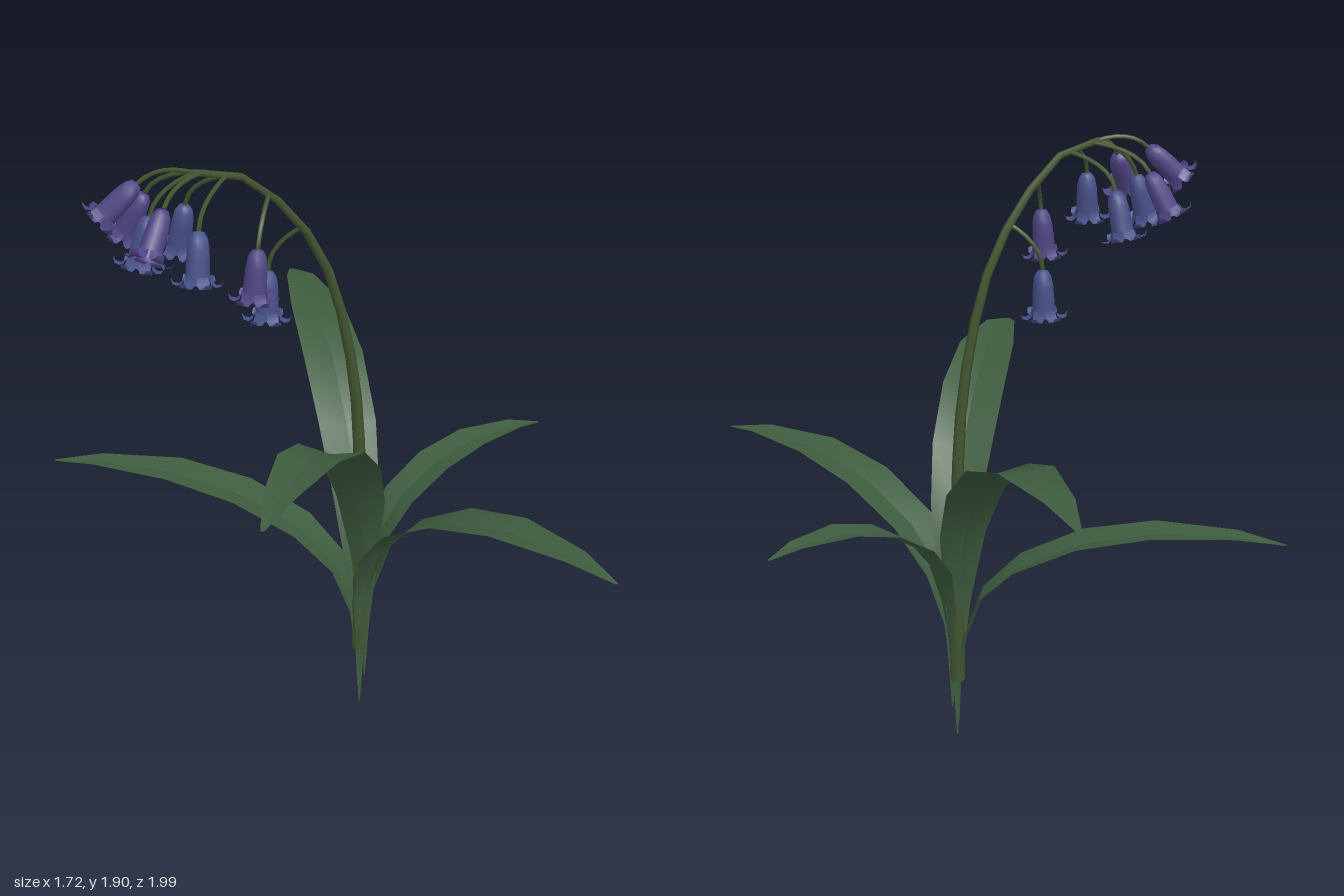
import * as THREE from 'three';

const V = (p) => new THREE.Vector3(...p);
const material = (color, extra = {}) =>
  Object.assign(new THREE.MeshStandardMaterial({ color }), extra);
const leafMat = material(0x3e5c3f, { side: THREE.DoubleSide });
const stemMat = material(0x43552f);
const blueMat = material(0x475189, { side: THREE.DoubleSide });
const purpleMat = material(0x504685, { side: THREE.DoubleSide });

function add(parent, name, geometry, mat) {
  const mesh = new THREE.Mesh(geometry, mat);
  mesh.name = name;
  parent.add(mesh);
  return mesh;
}

// Surface through rows of points; skipped columns leave a crease
function surface(rows, skip = -1) {
  const n = rows[0].length, index = [];
  for (let i = 0; i < rows.length - 1; i++)
    for (let j = 0; j < n - 1; j++) {
      if (j === skip) continue;
      const a = i * n + j, b = a + n;
      index.push(a, a + 1, b, b, a + 1, b + 1);
    }
  const g = new THREE.BufferGeometry().setFromPoints(rows.flat());
  g.setIndex(index);
  g.computeVertexNormals();
  return g;
}

// Tube whose radius shrinks from r0 to r1
function taperedTube(curve, segments, r0, r1, sides) {
  const g = new THREE.TubeGeometry(curve, segments, 1, sides);
  const pos = g.attributes.position, v = new THREE.Vector3();
  for (let i = 0; i < pos.count; i++) {
    const t = Math.floor(i / (sides + 1)) / segments;
    const c = curve.getPointAt(t);
    v.fromBufferAttribute(pos, i).sub(c).multiplyScalar(r0 + (r1 - r0) * t).add(c);
    pos.setXYZ(i, v.x, v.y, v.z);
  }
  return g;
}

// Leaf rows: share of reach, share of height, half width
const leafRows = [
  [0, 0, 0.002], [0.005, 0.2, 0.016], [0.022, 0.42, 0.043], [0.075, 0.63, 0.075],
  [0.19, 0.787, 0.092], [0.38, 0.917, 0.097], [0.6, 0.985, 0.086], [0.85, 0.995, 0.046],
  [1, 0.97, 0.005],
];

function leafGeometry({ base, tip, height, width }) {
  const start = V(base), end = V(tip);
  const reach = end.clone().sub(start).setY(0);
  const side = new THREE.Vector3(0, 1, 0).cross(reach).normalize();
  const mids = leafRows.map(([r, h]) =>
    start.clone().addScaledVector(reach, r).setY(start.y + (height - start.y) * h));
  const rows = mids.map((m, i) => {
    const w = leafRows[i][2] * width;
    const along = mids[Math.min(i + 1, mids.length - 1)].clone().sub(mids[Math.max(i - 1, 0)]);
    const normal = along.normalize().cross(side);
    const edge = (s) => m.clone().addScaledVector(side, s * w).addScaledVector(normal, 0.18 * w);
    return [edge(1), m.clone(), m.clone(), edge(-1)];
  });
  return surface(rows, 1);
}

// Bell with a domed top at the origin, hanging down -y
const bellProfile = [
  [0.038, -0.148], [0.035, -0.125], [0.034, -0.085], [0.032, -0.05],
  [0.027, -0.022], [0.017, -0.005], [0, 0],
].map(([x, y]) => new THREE.Vector2(x, y));
const bellGeometry = new THREE.LatheGeometry(bellProfile, 10);

// Curled lobe at the mouth: radius, height, half width
const lobeGeometry = surface([
  [0.035, -0.125, 0.017], [0.04, -0.146, 0.019], [0.053, -0.154, 0.018],
  [0.067, -0.151, 0.015], [0.073, -0.138, 0.009],
].map(([r, y, w]) => [new THREE.Vector3(r, y, w), new THREE.Vector3(r, y, -w)]));

function makeFlower({ from, top, mouth, mat }) {
  const group = new THREE.Group();
  group.name = 'flower';
  const crown = V(top), up = crown.clone().sub(V(mouth)).normalize();
  const stalk = new THREE.QuadraticBezierCurve3(V(from), crown.clone().addScaledVector(up, 0.08), crown);
  add(group, 'flowerStalk', taperedTube(stalk, 6, 0.007, 0.007, 5), stemMat);

  const head = new THREE.Group();
  head.name = 'flowerHead';
  head.position.copy(crown);
  head.quaternion.setFromUnitVectors(new THREE.Vector3(0, 1, 0), up);
  add(head, 'bell', bellGeometry, mat);
  for (let i = 0; i < 6; i++)
    add(head, 'petalLobe', lobeGeometry, mat).rotation.y = (i * Math.PI) / 3;
  group.add(head);
  return group;
}

export function createModel() {
  const model = new THREE.Group();
  model.name = 'bellFlowerPlant';

  // Leaves spreading from one narrow base
  const leaves = [
    { base: [0.137, 0, 0.03], tip: [-0.13, 0, -1.0], height: 1.143, width: 1 },
    { base: [0.152, 0.1, 0.03], tip: [-0.11, 0, 0.99], height: 1.15, width: 1.04 },
    { base: [0.13, 0.05, 0.025], tip: [-0.86, 0, -0.22], height: 0.752, width: 0.95 },
    { base: [0.135, 0.05, 0.03], tip: [0.86, 0, 0.73], height: 0.86, width: 0.97 },
    { base: [0.155, 0.2, 0.01], tip: [0.71, 0, -0.4], height: 0.83, width: 0.76 },
  ];
  for (const leaf of leaves) add(model, 'leaf', leafGeometry(leaf), leafMat);

  // Arching stem
  const stem = new THREE.CatmullRomCurve3([
    [0.135, 0.2, 0.025], [0.135, 0.7, 0.03], [0.118, 1.1, 0.045], [0.088, 1.3, 0.06],
    [0.04, 1.5, 0.09], [-0.035, 1.66, 0.135], [-0.13, 1.785, 0.2],
    [-0.23, 1.865, 0.265], [-0.33, 1.882, 0.315],
  ].map(V));
  add(model, 'stem', taperedTube(stem, 13, 0.024, 0.01, 6), stemMat);

  // Nodding flowers, from the lowest to the tip
  const flowers = [
    { from: [-0.04, 1.665, 0.14], top: [-0.14, 1.525, 0.125], mouth: [-0.145, 1.38, 0.13], mat: blueMat },
    { from: [-0.13, 1.785, 0.2], top: [-0.155, 1.665, 0.33], mouth: [-0.168, 1.515, 0.338], mat: purpleMat },
    { from: [-0.23, 1.86, 0.265], top: [-0.37, 1.75, 0.2], mouth: [-0.395, 1.61, 0.182], mat: blueMat },
    { from: [-0.24, 1.865, 0.27], top: [-0.31, 1.755, 0.435], mouth: [-0.316, 1.61, 0.455], mat: blueMat },
    { from: [-0.3, 1.88, 0.3], top: [-0.405, 1.815, 0.43], mouth: [-0.445, 1.69, 0.505], mat: purpleMat },
    { from: [-0.3, 1.88, 0.3], top: [-0.48, 1.795, 0.24], mouth: [-0.545, 1.665, 0.22], mat: purpleMat },
    { from: [-0.33, 1.882, 0.315], top: [-0.487, 1.855, 0.33], mouth: [-0.59, 1.755, 0.345], mat: purpleMat },
    { from: [-0.33, 1.882, 0.315], top: [-0.455, 1.765, 0.345], mouth: [-0.49, 1.62, 0.36], mat: blueMat },
  ];
  for (const flower of flowers) model.add(makeFlower(flower));

  return model;
}
